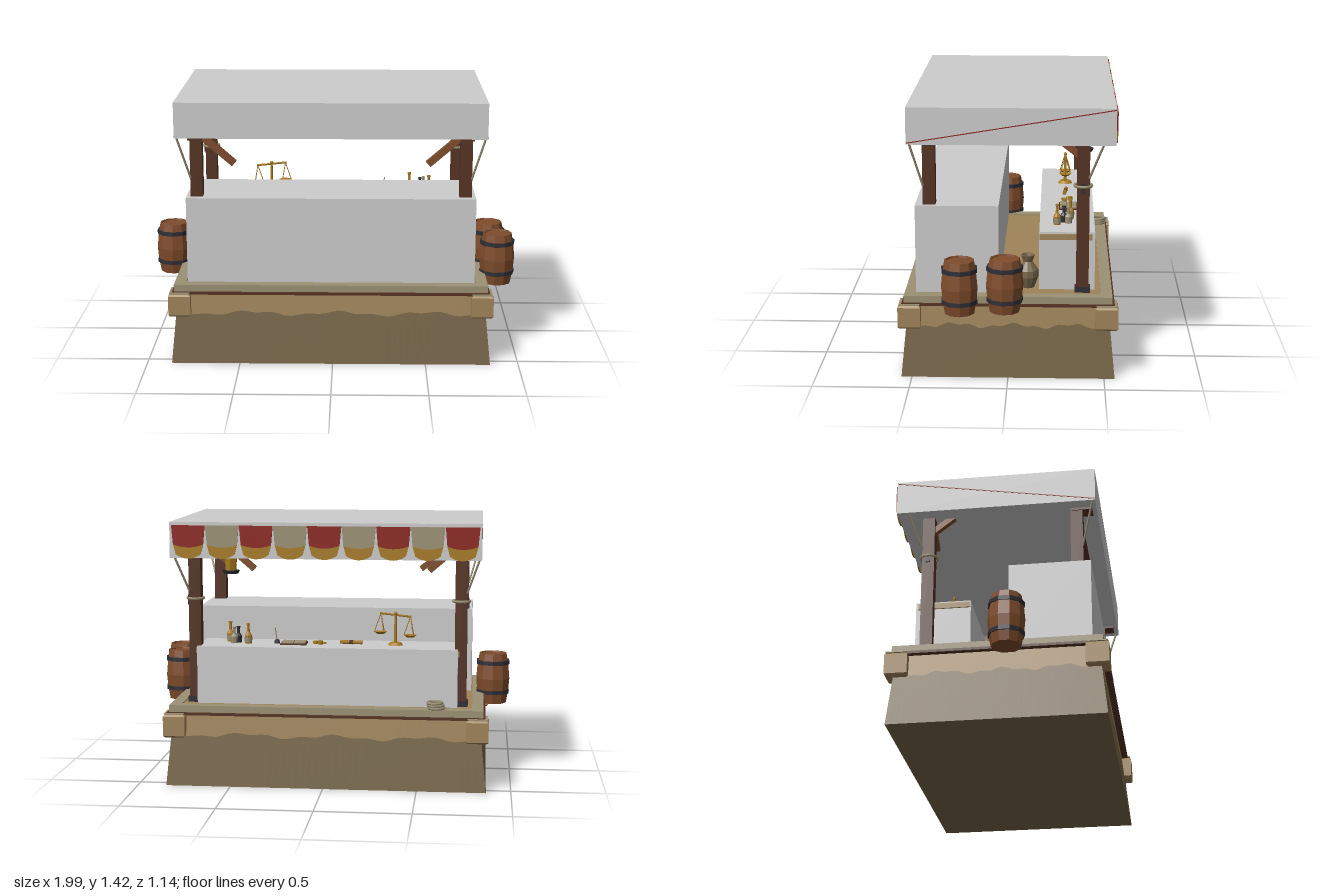
import * as THREE from 'three';

const mat = (name, color) => {
  const m = new THREE.MeshStandardMaterial({ color });
  m.name = name;
  return m;
};
const V = (x, y, z) => new THREE.Vector3(x, y, z);

export function createModel() {
  const grey = mat('pale grey', 0xcccccc);
  const tan = mat('tan earth', 0xa0845a);
  const dirt = mat('brown earth', 0x786749);
  const stone = mat('weathered beige', 0x9c9175);
  const darkWood = mat('dark wood', 0x553222);
  const wood = mat('barrel wood', 0x7f4c2b);
  const iron = mat('iron', 0x2e2e36);
  const red = mat('red cloth', 0x8c221a);
  const gold = mat('gold', 0xa87b22);

  const model = new THREE.Group();
  const stall = new THREE.Group();
  stall.name = 'stall';
  stall.position.x = -0.01;
  model.add(stall);

  const add = (name, geo, material, x = 0, y = 0, z = 0, parent = stall) => {
    const mesh = new THREE.Mesh(geo, material);
    mesh.name = name;
    mesh.position.set(x, y, z);
    parent.add(mesh);
    return mesh;
  };
  const box = (w, h, d) => new THREE.BoxGeometry(w, h, d);
  const flat = (geo) => {
    const g = geo.toNonIndexed();
    g.computeVertexNormals();
    return g;
  };
  const lathe = (pts, n) => flat(new THREE.LatheGeometry(pts.map((p) => new THREE.Vector2(...p)), n));
  // Straight bar between two points
  const bar = (name, geo, material, a, b, parent = stall) => {
    const mesh = add(name, geo(a.distanceTo(b)), material, 0, 0, 0, parent);
    mesh.position.copy(a).add(b).multiplyScalar(0.5);
    mesh.quaternion.setFromUnitVectors(V(0, 1, 0), b.clone().sub(a).normalize());
    return mesh;
  };
  const rod = (r) => (len) => new THREE.CylinderGeometry(r, r, len, 6);
  const beam = (w) => (len) => box(w, len, w);

  // Sloping earth base: lower dirt and upper tan bands with a ragged seam
  const seam = (u) => 0.277 + 0.01 * Math.sin(u * 11 + 1) + 0.006 * Math.sin(u * 29);
  const baseSide = (L, D, lo, hi, angle) => {
    const g = new THREE.PlaneGeometry(2, 1, 48, 1);
    const p = g.attributes.position;
    for (let i = 0; i < p.count; i++) {
      const u = p.getX(i);
      const y = p.getY(i) > 0 ? hi(u) : lo(u);
      p.setXYZ(i, u * (L - 0.1 * y), y, D - 0.1 * y);
    }
    g.rotateY(angle);
    g.computeVertexNormals();
    return g;
  };
  for (let i = 0; i < 4; i++) {
    const [L, D] = i % 2 ? [0.555, 0.858] : [0.858, 0.555];
    add('baseLower', baseSide(L, D, () => 0, seam, i * Math.PI / 2), dirt);
    add('baseUpper', baseSide(L, D, seam, () => 0.395, i * Math.PI / 2), tan);
  }
  add('baseBottom', new THREE.PlaneGeometry(1.716, 1.11).rotateX(Math.PI / 2), dirt);

  // Platform floor with a raised board edge
  add('underPlate', box(1.7, 0.014, 1.1), darkWood, 0, 0.393, 0);
  add('floor', box(1.6, 0.03, 1.0), tan, 0, 0.415, 0);
  for (const s of [-1, 1]) {
    add('edgeBoardLong', box(1.678, 0.037, 0.06), stone, 0, 0.4185, s * 0.508);
    add('edgeBoardShort', box(0.06, 0.037, 0.96), stone, s * 0.809, 0.4185, 0);
  }

  // Corner blocks, posts, ropes and braces
  const blockShape = new THREE.Shape([[-1, -1], [1, -1], [1, 1], [-1, 1]].map(([x, y]) => new THREE.Vector2(x * 0.05, y * 0.05)));
  const blockGeo = flat(new THREE.ExtrudeGeometry(blockShape, { depth: 0.105, bevelSize: 0.009, bevelThickness: 0.009, bevelSegments: 1 }).rotateX(-Math.PI / 2));
  for (const sx of [-1, 1]) {
    for (const front of [true, false]) {
      const sz = front ? 1 : -1;
      add('cornerBlock', blockGeo, tan, sx * 0.809, 0.274, sz * 0.51);
      add('cornerCap', box(0.108, 0.006, 0.108), stone, sx * 0.809, 0.394, sz * 0.51);
      const z = front ? 0.408 : -0.383;
      const x = sx * 0.715;
      add('post', box(0.065, 0.8, 0.065), darkWood, x, 0.834, z);
      add('postShoe', box(0.08, 0.03, 0.08), iron, x, 0.45, z);
      const [low, zEnd] = front ? [1.0, 0.5] : [1.045, -0.483];
      bar('stayRope', rod(0.006), stone, V(sx * 0.745, low, z + sz * 0.03), V(sx * 0.81, 1.235, zEnd));
      if (front) {
        bar('frontBrace', beam(0.035), wood, V(sx * 0.7, 1.235, z), V(sx * 0.515, 1.075, z));
        add('topCap', box(0.075, 0.016, 0.11), darkWood, x, 1.224, 0.437);
      } else {
        bar('backBrace', beam(0.03), wood, V(sx * 0.6, 1.245, z), V(sx * 0.5, 1.17, z));
        bar('sideBrace', beam(0.032), wood, V(x, 1.15, z + 0.01), V(x, 1.245, -0.25));
        const ring = add('postRope', new THREE.TorusGeometry(0.045, 0.006, 6, 16).rotateX(Math.PI / 2), stone, x, 1.0, z);
        ring.scale.y = 1.3;
        add('postPlate', box(0.012, 0.055, 0.022), iron, x + sx * 0.035, 0.99, z);
      }
    }
  }
  add('frontBeam', box(1.4, 0.014, 0.035), darkWood, 0, 1.226, 0.41);

  // Counters
  add('frontCounter', box(1.54, 0.465, 0.43), grey, 0, 0.6675, 0.265);
  add('backCounter', box(1.4, 0.31, 0.29), grey, 0, 0.59, -0.303);
  add('counterPlank', box(1.415, 0.03, 0.275), tan, 0, 0.72, -0.297);

  // Canopy with a sloping red seam on each end
  add('canopy', box(1.64, 0.19, 1.06), grey, 0, 1.325, -0.015);
  for (const s of [-1, 1]) {
    const seamStrip = add('canopySeam', box(0.004, 0.005, 1.07), red, s * 0.82, 1.325, -0.015);
    seamStrip.rotation.x = Math.atan2(0.175, 1.06);
  }

  // Row of alternating flags along the back
  const flagPart = (top, bottom, wTop, wBottom, sag, topSag) => {
    const s = new THREE.Shape();
    s.moveTo(-wTop, top);
    s.lineTo(-wBottom, bottom);
    s.quadraticCurveTo(0, bottom - sag, wBottom, bottom);
    s.lineTo(wTop, top);
    s.quadraticCurveTo(0, top - topSag, -wTop, top);
    return new THREE.ExtrudeGeometry(s, { depth: 0.008, bevelEnabled: false, curveSegments: 6 });
  };
  const cloth = flagPart(1.403, 1.302, 0.089, 0.08, 0.03, 0);
  const trim = flagPart(1.302, 1.25, 0.08, 0.066, 0.045, 0.03);
  for (let i = 0; i < 9; i++) {
    const x = (i - 4) * 0.18;
    add('flag', cloth, i % 2 ? stone : red, x, 0, -0.553);
    add('flagTrim', trim, gold, x, 0, -0.553);
  }

  // Barrels
  const barrelGeo = lathe([[0, 0], [0.078, 0], [0.09, 0.065], [0.097, 0.14], [0.09, 0.215], [0.078, 0.28], [0.07, 0.28], [0.068, 0.272], [0, 0.272]], 10);
  const hoopGeo = lathe([[0.084, -0.011], [0.095, -0.011], [0.095, 0.011], [0.084, 0.011]], 10);
  for (const [x, z, turn] of [[-0.9, 0.057, 0], [0.862, 0.015, 0.2], [0.897, 0.245, 0.4]]) {
    const barrel = new THREE.Group();
    barrel.name = 'barrel';
    barrel.position.set(x, 0.374, z);
    barrel.rotation.y = turn;
    model.add(barrel);
    add('barrelBody', barrelGeo, wood, 0, 0, 0, barrel);
    add('barrelHoop', hoopGeo, iron, 0, 0.065, 0, barrel);
    add('barrelHoop', hoopGeo, iron, 0, 0.23, 0, barrel);
  }

  // Lantern under the canopy
  add('lanternBase', new THREE.CylinderGeometry(0.048, 0.04, 0.018, 8), iron, 0.52, 1.144, -0.39);
  add('lanternGlass', flat(new THREE.CylinderGeometry(0.036, 0.03, 0.085, 6)), gold, 0.52, 1.192, -0.39);

  // Balance scales
  const top = 0.745;
  const scales = new THREE.Group();
  scales.name = 'scales';
  scales.position.set(-0.36, top, -0.295);
  stall.add(scales);
  add('scalesFoot', new THREE.CylinderGeometry(0.03, 0.042, 0.014, 10), gold, 0, 0.007, 0, scales);
  add('scalesStem', new THREE.CylinderGeometry(0.006, 0.009, 0.17, 8), gold, 0, 0.09, 0, scales);
  add('scalesTip', new THREE.SphereGeometry(0.01, 8, 6), gold, 0, 0.172, 0, scales);
  bar('scalesBeam', rod(0.006), gold, V(-0.085, 0.155, 0), V(0.085, 0.173, 0), scales);
  for (const [x, y] of [[-0.08, 0.155], [0.08, 0.172]]) {
    add('scalesPan', new THREE.CylinderGeometry(0.036, 0.02, 0.012, 10), gold, x, y - 0.105, 0, scales);
    for (let i = 0; i < 3; i++) {
      const a = i * Math.PI * 2 / 3;
      bar('panChain', rod(0.0025), gold, V(x, y, 0), V(x + 0.034 * Math.cos(a), y - 0.1, 0.034 * Math.sin(a)), scales);
    }
  }

  // Bottles
  const bottleGeo = lathe([[0, 0], [0.018, 0], [0.02, 0.045], [0.008, 0.065], [0.007, 0.1], [0.01, 0.102], [0.01, 0.11], [0, 0.11]], 8);
  for (const [x, z, m] of [[0.55, -0.25, gold], [0.5, -0.285, iron], [0.44, -0.32, gold], [0.52, -0.31, stone]]) {
    const bottle = add('bottle', bottleGeo, m, x, top, z);
    if (m !== gold) bottle.scale.y = 0.8;
    else add('bottleLabel', new THREE.CylinderGeometry(0.0215, 0.0205, 0.028, 8, 1, true), stone, x, top + 0.022, z);
  }

  // Ledger, quill, coins and scroll
  add('ledger', box(0.14, 0.008, 0.1), darkWood, 0.19, top + 0.004, -0.31);
  for (const s of [-1, 1]) add('page', box(0.062, 0.006, 0.09), stone, 0.19 + s * 0.033, top + 0.011, -0.31);
  add('inkwell', new THREE.CylinderGeometry(0.012, 0.016, 0.02, 8), iron, 0.285, top + 0.01, -0.3);
  bar('quill', rod(0.003), stone, V(0.285, top + 0.01, -0.3), V(0.295, top + 0.085, -0.3));
  for (const [x, z, n] of [[0.075, -0.29, 2], [0.045, -0.32, 3], [0.03, -0.285, 1]]) {
    add('coins', new THREE.CylinderGeometry(0.014, 0.014, n * 0.007, 8), gold, x, top + n * 0.0035, z);
  }
  bar('scroll', rod(0.011), gold, V(-0.18, top + 0.011, -0.3), V(-0.06, top + 0.011, -0.29));
  bar('scrollBand', rod(0.0125), darkWood, V(-0.13, top + 0.011, -0.296), V(-0.11, top + 0.011, -0.294));

  // Vase in the aisle and coiled rope at the back
  const vase = lathe([[0, 0], [0.035, 0], [0.057, 0.06], [0.055, 0.095], [0.025, 0.14], [0.037, 0.175], [0.028, 0.175], [0.018, 0.14], [0, 0.13]], 12);
  add('vase', vase, dirt, 0.64, 0.43, -0.098);
  for (let i = 0; i < 3; i++) {
    add('ropeCoil', new THREE.TorusGeometry(0.042 - i * 0.002, 0.008, 6, 18).rotateX(Math.PI / 2), stone, -0.59 + i * 0.004, 0.444 + i * 0.013, -0.495);
  }

  return model;
}
